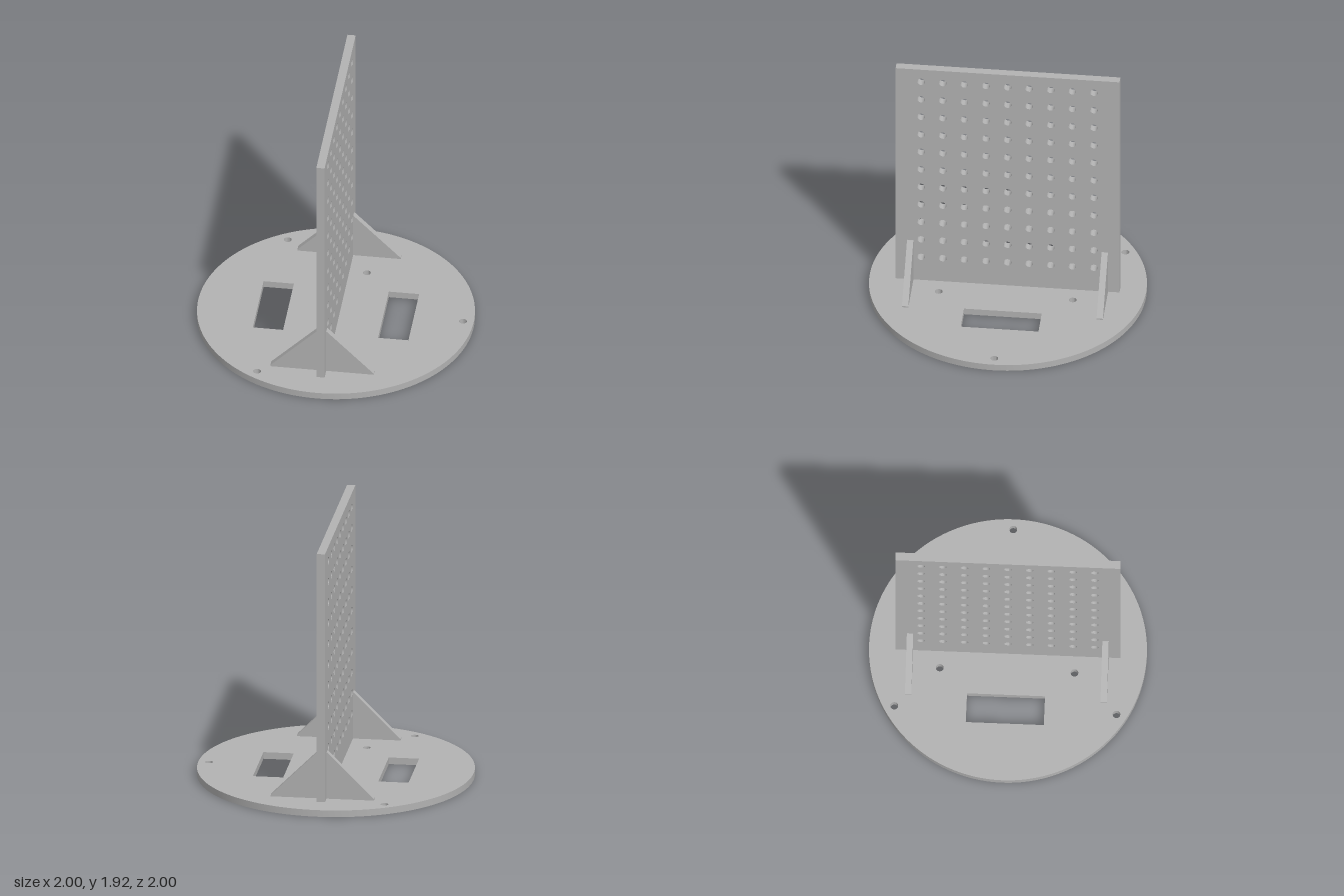
import * as THREE from 'three';
import { toCreasedNormals } from 'three/addons/utils/BufferGeometryUtils.js';

const BASE_T = 0.05, HOLE_R = 0.028;
const BOARD_T = 0.06, BOARD_W = 1.62, TOP = 1.925;
const GUSSET_T = 0.046, GUSSET_Z = 0.704;

function roundHole(x, y) {
  return new THREE.Path().absarc(x, y, HOLE_R, 0, Math.PI * 2, true);
}

function polygon(points, Type = THREE.Shape) {
  return new Type(points.map(([x, y]) => new THREE.Vector2(x, y)));
}

function extrude(shape, depth, curveSegments = 12) {
  const geometry = new THREE.ExtrudeGeometry(shape, { depth, curveSegments, bevelEnabled: false });
  return toCreasedNormals(geometry, 0.6);
}

export function createModel() {
  const model = new THREE.Group();
  model.name = 'pegboardStand';
  const grey = new THREE.MeshStandardMaterial({ color: 0xb2b2b2 });
  grey.name = 'grey';

  const add = (name, geometry) => {
    const mesh = new THREE.Mesh(geometry, grey);
    mesh.name = name;
    model.add(mesh);
    return mesh;
  };

  // Round base with two windows and seven screw holes
  const disc = new THREE.Shape().absarc(0, 0, 1, 0, Math.PI * 2, false);
  for (const s of [-1, 1]) {
    const x0 = s * 0.455 - 0.11, x1 = s * 0.455 + 0.11, h = 0.281;
    disc.holes.push(polygon([[x0, -h], [x0, h], [x1, h], [x1, -h]], THREE.Path));
    disc.holes.push(roundHole(-0.157, s * 0.485), roundHole(0.157, s * 0.485));
    disc.holes.push(roundHole(-0.462, s * 0.8));
  }
  disc.holes.push(roundHole(0.922, 0));
  add('base', extrude(disc, BASE_T, 96).rotateX(-Math.PI / 2));

  // Upright board with a 9 by 11 grid of peg holes
  const w = BOARD_W / 2;
  const board = polygon([[-w, BASE_T], [w, BASE_T], [w, TOP], [-w, TOP]]);
  for (let row = 0; row < 11; row++) {
    for (let col = -4; col <= 4; col++) {
      board.holes.push(roundHole(col * 0.1563, 0.255 + row * 0.1563));
    }
  }
  add('pegboard', extrude(board, BOARD_T, 24)
    .translate(0, 0, -BOARD_T / 2).rotateY(-Math.PI / 2));

  // Triangular gussets on both faces, near each end of the board
  const b = BOARD_T / 2;
  const triangle = polygon([[b, BASE_T], [0.375, BASE_T], [0.375, 0.06], [b + 0.005, 0.4], [b, 0.4]]);
  const gusset = extrude(triangle, GUSSET_T).translate(0, 0, -GUSSET_T / 2);
  for (const z of [-GUSSET_Z, GUSSET_Z]) {
    for (const turn of [0, Math.PI]) {
      const mesh = add('gusset', gusset);
      mesh.position.z = z;
      mesh.rotation.y = turn;
    }
  }
  return model;
}
